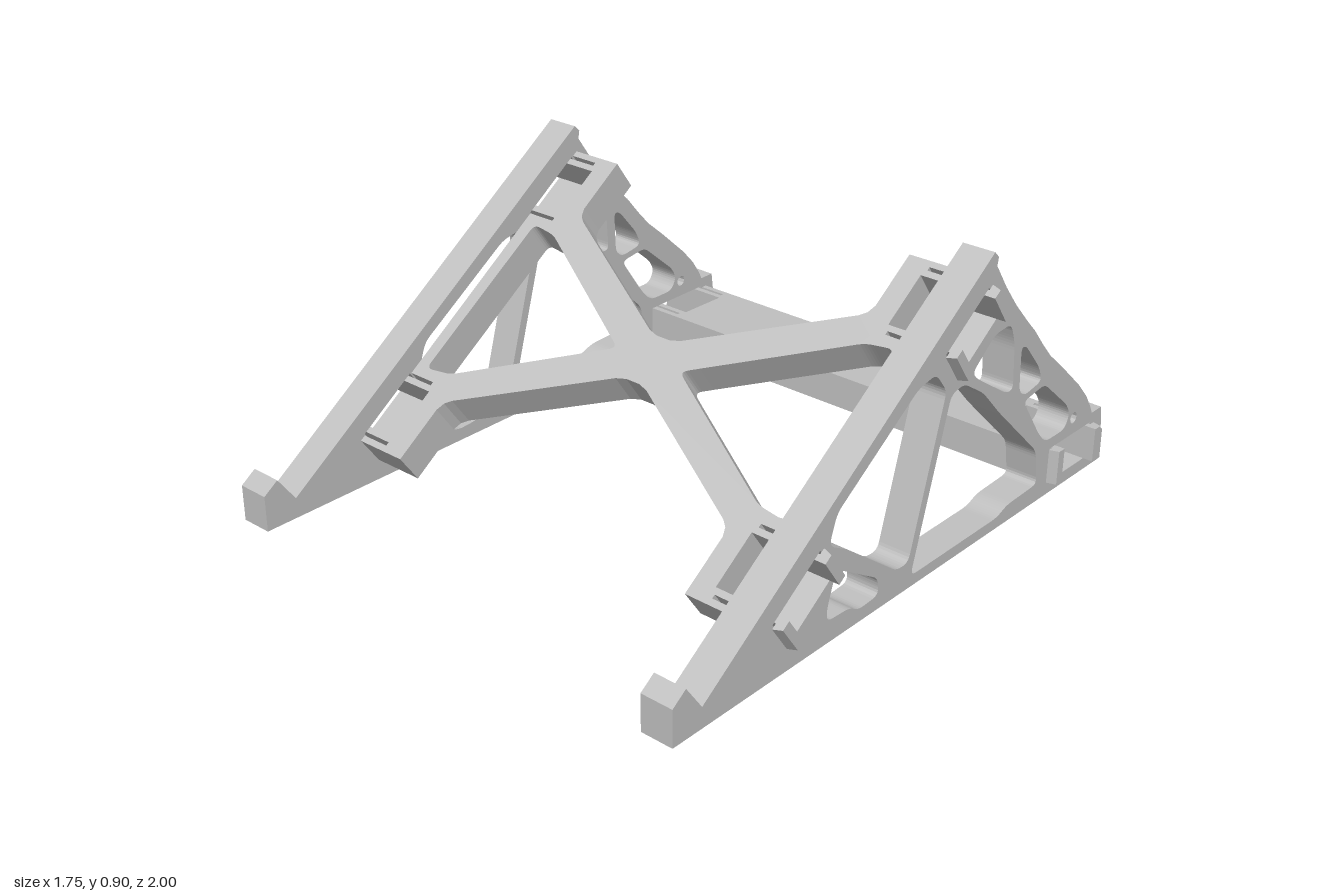
import * as THREE from 'three';

const grey = new THREE.MeshStandardMaterial({ color: 0xc0c0c0 });
grey.name = 'grey plastic';

const SLOPE = THREE.MathUtils.degToRad(35);
const THICK = 0.11;   // thickness of the brace and the beam
const IN = 0.737, OUT = 0.842;  // inner and outer faces of the side frames

const v = ([x, y]) => new THREE.Vector2(x, y);

// closed path with corners softened by radius r
function softPath(points, r) {
  const p = points.map(v), n = p.length, path = new THREE.Path();
  p.forEach((c, i) => {
    const a = p[(i + n - 1) % n], b = p[(i + 1) % n];
    const near = (q) => c.clone().lerp(q, Math.min(0.45, r / c.distanceTo(q)));
    const s = near(a), e = near(b);
    if (i === 0) path.moveTo(s.x, s.y); else path.lineTo(s.x, s.y);
    path.quadraticCurveTo(c.x, c.y, e.x, e.y);
  });
  path.closePath();
  return path;
}

function extrude(name, shape, depth) {
  const geo = new THREE.ExtrudeGeometry(shape, { depth, bevelEnabled: false, curveSegments: 5 });
  const mesh = new THREE.Mesh(geo, grey);
  mesh.name = name;
  return mesh;
}

// rectangular joint slot, centred at (z, y) and turned by angle
function slot(z, y, angle) {
  const c = Math.cos(angle), s = Math.sin(angle);
  return new THREE.Path([[-1, -1], [1, -1], [1, 1], [-1, 1]].map(([i, j]) => {
    const a = i * 0.116, b = j * 0.058;
    return new THREE.Vector2(z + a * c + b * s, y - a * s + b * c);
  }));
}

// triangular side frame, drawn as (z, y)
function sideFrame(name, outerX) {
  const shape = new THREE.Shape([
    [1, 0], [1, 0.115], [0.95, 0.15], [0.89, 0.065], [-0.31, 0.905], [-0.33, 0.885], [-0.325, 0.86],
    [-0.38, 0.78], [-0.44, 0.705], [-0.51, 0.63], [-0.55, 0.59], [-0.6, 0.53], [-0.65, 0.475], [-0.72, 0.415],
    [-0.83, 0.315], [-0.88, 0.26], [-0.91, 0.215], [-0.925, 0.185], [-0.98, 0.185], [-0.99, 0.11],
    [-1, 0.1], [-1, 0],
  ].map(v));
  const openings = [
    // large central triangle
    [[0.01, 0.035], [-0.14, 0.54], [-0.2, 0.55], [-0.3, 0.485], [-0.39, 0.39], [-0.61, 0.18], [-0.63, 0.06],
      [-0.47, 0.055], [-0.42, 0.035]],
    // opening under the sloping edge
    [[0.39, 0.3], [0.36, 0.385], [0.02, 0.615], [-0.06, 0.63], [-0.115, 0.56], [0.025, 0.085], [0.08, 0.085],
      [0.31, 0.255]],
    // low front opening
    [[0.36, 0.2], [0.33, 0.2], [0.165, 0.1], [0.16, 0.045], [0.25, 0.04], [0.29, 0.065], [0.39, 0.07], [0.39, 0.11]],
    // three openings along the back edge
    [[-0.24, 0.57], [-0.34, 0.65], [-0.42, 0.655], [-0.445, 0.59], [-0.455, 0.44], [-0.42, 0.44], [-0.26, 0.545]],
    [[-0.485, 0.56], [-0.51, 0.555], [-0.59, 0.46], [-0.61, 0.41], [-0.52, 0.395], [-0.49, 0.42]],
    [[-0.52, 0.375], [-0.63, 0.39], [-0.77, 0.27], [-0.79, 0.23], [-0.765, 0.19], [-0.66, 0.19], [-0.62, 0.23]],
  ];
  openings.forEach((o) => shape.holes.push(softPath(o, 0.025)));
  shape.holes.push(slot(0.49, 0.19, SLOPE), slot(-0.23, 0.692, SLOPE), slot(-0.805, 0.097, 0));
  shape.holes.push(new THREE.Path().absarc(-0.815, 0.21, 0.018, 0, Math.PI * 2));
  const mesh = extrude(name, shape, OUT - IN);
  mesh.rotation.y = -Math.PI / 2;
  mesh.position.x = outerX;
  return mesh;
}

// snap joint: two shoulders and two hooked prongs
function clip(side, s) {
  const half = [
    [0.6, 0.14], [IN, 0.14], [IN, 0.12], [0.64, 0.12], [0.64, 0.108], [0.845, 0.108],
    [0.845, 0.127], [0.875, 0.118], [0.875, 0.088], [0.63, 0.088],
  ];
  const pts = [...half, ...half.map(([x, y]) => [x, -y]).reverse()];
  const mesh = extrude('snapClip', new THREE.Shape(pts.map(([x, y]) => v([side * x, s + y]))), THICK);
  mesh.position.z = -THICK / 2;
  return mesh;
}

// X-shaped brace, drawn as (across, up the slope)
function crossBrace() {
  const group = new THREE.Group();
  group.name = 'crossBrace';
  const quarter = [
    [0.025, 0.08], [0.06, 0.09], [0.53, 0.35], [0.55, 0.368], [0.56, 0.395], [0.56, 0.58],
    [0.6, 0.58], [0.6, 0.3], [IN, 0.3],
  ];
  const right = [...quarter, ...quarter.map(([x, y]) => [x, -y]).reverse()];
  const left = right.map(([x, y]) => [-x, y]).reverse();
  // outline runs counter-clockwise so that the walls of both holes face inwards
  const shape = new THREE.Shape([...right, ...left].reverse().map(v));
  const hole = [[0.123, 0], [0.17, 0.028], [0.6, 0.275], [0.692, 0.287], [0.697, -0.287], [0.6, -0.275], [0.17, -0.028]];
  for (const side of [1, -1]) {
    shape.holes.push(softPath(hole.map(([x, y]) => [side * x, y]), 0.024));
    for (const s of [0.44, -0.44]) group.add(clip(side, s));
  }
  const body = extrude('braceBody', shape, THICK);
  body.position.z = -THICK / 2;
  group.add(body);
  group.rotation.x = SLOPE - Math.PI / 2;
  group.position.set(0, 0.442, 0.128);
  return group;
}

// flat beam joining the back feet, tilted very slightly
function rearBeam() {
  const group = new THREE.Group();
  group.name = 'rearBeam';
  const plank = new THREE.Mesh(new THREE.BoxGeometry(1.2, 0.28, THICK), grey);
  plank.name = 'plank';
  group.add(plank, clip(1, 0), clip(-1, 0));
  group.rotation.x = -Math.PI / 2 - 0.02;
  group.position.set(0, 0.097, -0.808);
  return group;
}

export function createModel() {
  const model = new THREE.Group();
  model.name = 'slopedStand';
  model.add(sideFrame('leftSideFrame', OUT), sideFrame('rightSideFrame', -IN), crossBrace(), rearBeam());
  return model;
}
